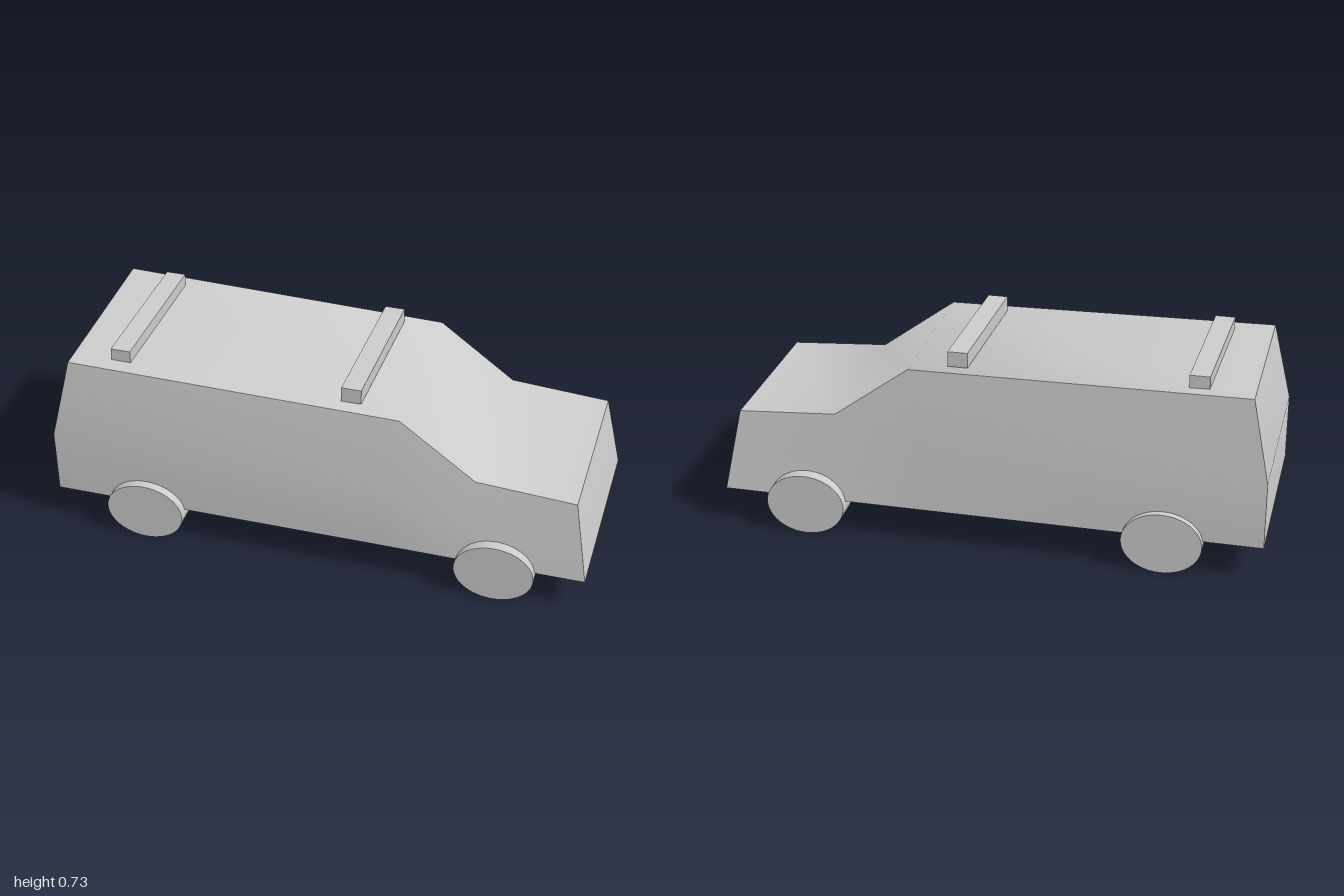
import * as THREE from 'three';
import { toCreasedNormals } from 'three/addons/utils/BufferGeometryUtils.js';

const material = new THREE.MeshStandardMaterial({ color: 0xcccccc, side: THREE.DoubleSide });

// Each station lists bottom, belt and top as [x, y, far z, near z], rear to nose
const stations = [
  [[-1, 0.13, -0.38, 0.365], [-1, 0.38, -0.38, 0.37], [-0.935, 0.685, -0.344, 0.327]],
  [[0.25, 0.13, -0.373, 0.372], [0.25, 0.38, -0.37, 0.37], [0.3, 0.664, -0.325, 0.327]],
  [[0.6, 0.13, -0.37, 0.375], [0.59, 0.3, -0.348, 0.355], [0.58, 0.457, -0.322, 0.33]],
  [[1, 0.13, -0.367, 0.377], [0.973, 0.28, -0.344, 0.354], [0.945, 0.432, -0.32, 0.33]],
];

// Open-bottomed shell: a skin over the stations plus rear and nose panels
function bodyGeometry() {
  const rings = stations.map((rows) => [
    ...rows.map(([x, y, far]) => [x, y, far]),
    ...[...rows].reverse().map(([x, y, , near]) => [x, y, near]),
  ]);
  const positions = [];
  const quad = (a, b, c, d) => positions.push(...a, ...b, ...c, ...a, ...c, ...d);
  for (let i = 0; i < rings.length - 1; i++) {
    for (let j = 0; j < 5; j++) {
      quad(rings[i][j], rings[i][j + 1], rings[i + 1][j + 1], rings[i + 1][j]);
    }
  }
  const rear = rings[0];
  const nose = rings[rings.length - 1];
  for (let j = 0; j < 2; j++) {
    quad(nose[j], nose[j + 1], nose[4 - j], nose[5 - j]);
    quad(rear[5 - j], rear[4 - j], rear[j + 1], rear[j]);
  }
  const geometry = new THREE.BufferGeometry();
  geometry.setAttribute('position', new THREE.Float32BufferAttribute(positions, 3));
  return toCreasedNormals(geometry, 0.75);
}

function addMesh(parent, name, geometry) {
  const mesh = new THREE.Mesh(geometry, material);
  mesh.name = name;
  parent.add(mesh);
  return mesh;
}

// Bar across the roof, skewed slightly, between two z values
function barGeometry(z0, z1) {
  const geometry = new THREE.BoxGeometry(0.073, 0.057, z1 - z0);
  geometry.translate(0, 0, (z0 + z1) / 2);
  const p = geometry.attributes.position;
  for (let i = 0; i < p.count; i++) p.setX(i, p.getX(i) - 0.03 * p.getZ(i));
  geometry.computeVertexNormals();
  return geometry;
}

export function createModel() {
  const model = new THREE.Group();
  model.name = 'van';
  addMesh(model, 'bodyShell', bodyGeometry());

  // Wheels, slightly oval
  const wheelGeometry = new THREE.CylinderGeometry(1, 1, 0.106, 48);
  wheelGeometry.rotateX(Math.PI / 2);
  wheelGeometry.scale(0.146, 0.116, 1);
  for (const [name, x] of [['rearWheel', -0.643], ['frontWheel', 0.678]]) {
    for (const side of [1, -1]) {
      const wheel = addMesh(model, name, wheelGeometry);
      wheel.position.set(x - side * 0.004, 0.116, side * 0.351);
    }
  }

  // Roof bars, each a long rail with a short end block
  for (const [name, x, y, z] of [['rearRoofBar', -0.746, 0.7, -0.01], ['frontRoofBar', 0.12, 0.699, 0]]) {
    const bar = new THREE.Group();
    bar.name = name;
    bar.position.set(x, y, z);
    addMesh(bar, 'rail', barGeometry(-0.218, 0.274));
    addMesh(bar, 'endBlock', barGeometry(-0.28, -0.218));
    model.add(bar);
  }
  return model;
}
